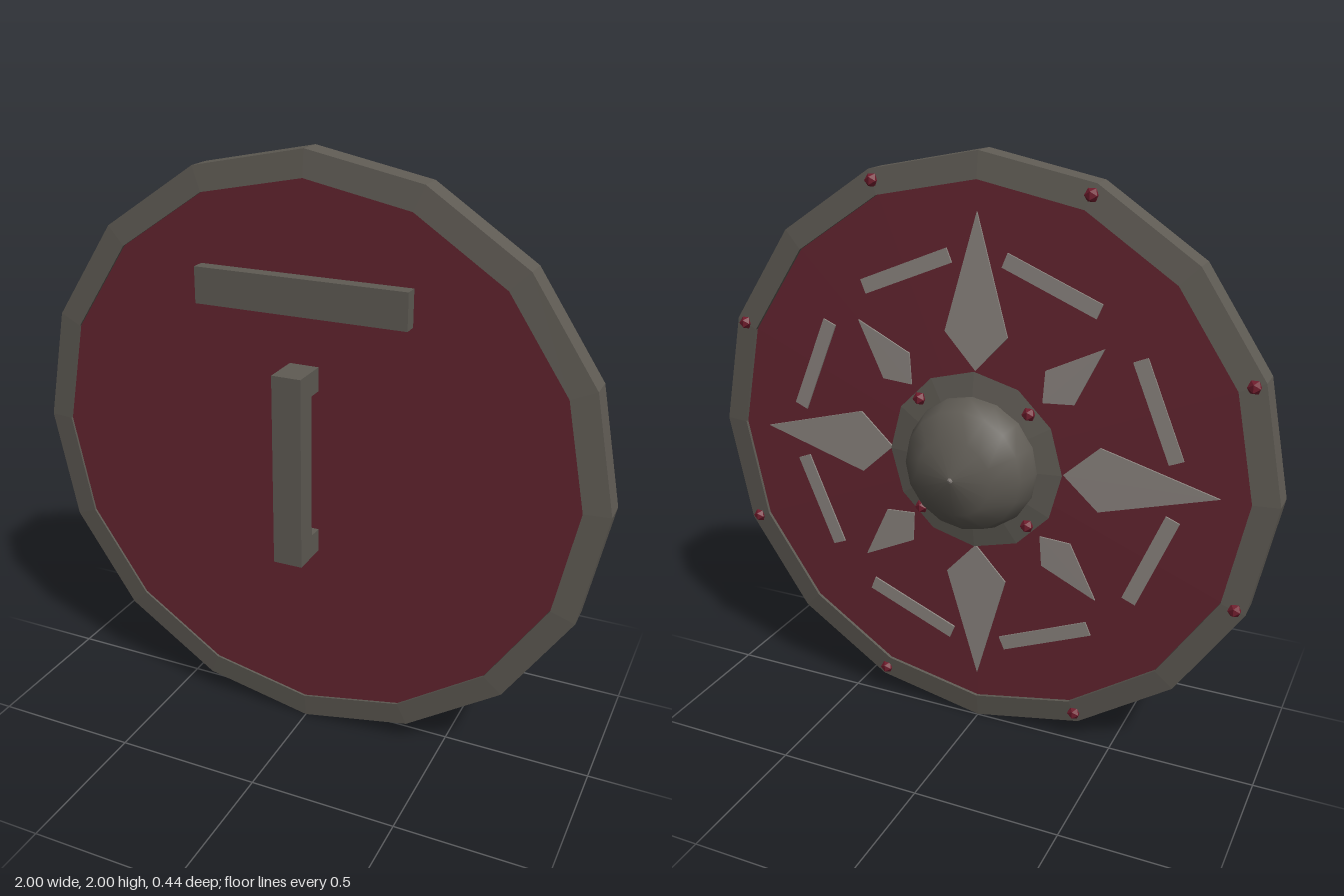
import * as THREE from 'three';

const mat = (name, color) => {
  const m = new THREE.MeshStandardMaterial({ color });
  m.name = name;
  return m;
};

// Height of the slightly domed back face at radius r
const backZ = (r) => -0.022 + 0.022 * r / 0.915;

// Turned part whose axis points to the back; profile points are [radius, -z]
function turned(profile, sides, smooth) {
  let g = new THREE.LatheGeometry(profile.map(([r, h]) => new THREE.Vector2(r, h)), sides);
  g.rotateX(-Math.PI / 2);
  if (!smooth) {
    g = g.toNonIndexed();
    g.computeVertexNormals();
  }
  return g;
}

// Thin plate laid on the domed back, turned about the centre
function plate(points, angle) {
  const shape = new THREE.Shape(points.map(([x, y]) => new THREE.Vector2(x, y)));
  const g = new THREE.ExtrudeGeometry(shape, { depth: 0.006, bevelEnabled: false });
  g.translate(0, 0, -0.006);
  g.rotateZ(angle);
  const p = g.attributes.position;
  for (let i = 0; i < p.count; i++) {
    p.setZ(i, p.getZ(i) + backZ(Math.hypot(p.getX(i), p.getY(i))));
  }
  g.computeVertexNormals();
  return g;
}

const kite = (inner, wide, tip, w) => [[0, inner], [w, wide], [0, tip], [-w, wide]];

export function createModel() {
  const root = new THREE.Group();
  root.name = 'roundShield';
  const shield = new THREE.Group();
  shield.name = 'shield';
  shield.position.y = 1;
  root.add(shield);

  const iron = mat('dark iron', 0x5f5b54);
  const red = mat('dark red', 0x642530);
  const pale = mat('pale metal', 0x8c8580);
  const rivetRed = mat('rivet red', 0x6e1c2c);

  const add = (name, geometry, material, x = 0, y = 0, z = 0) => {
    const m = new THREE.Mesh(geometry, material);
    m.name = name;
    m.position.set(x, y, z);
    shield.add(m);
    return m;
  };
  const box = (name, w, h, d, x, y, z) => add(name, new THREE.BoxGeometry(w, h, d), iron, x, y, z);

  // Board and rim
  add('board', turned([[0, -0.088], [0.93, -0.088], [0.93, -backZ(0.93)], [0, -backZ(0)]], 16), red);
  add('rim', turned([[0.915, -0.096], [1, -0.086], [1, -0.002], [0.915, 0.011], [0.915, -0.096]], 16), iron);

  // Boss on the back
  add('bossFlange', turned([[0.29, 0], [0.31, 0.03], [0.22, 0.045], [0, 0.045]], 12), iron);
  add('bossDome', turned([[0.23, 0.035], [0.228, 0.06], [0.205, 0.125], [0.13, 0.192], [0, 0.217]], 16, true), iron);
  add('bossTip', turned([[0.014, 0.213], [0, 0.22]], 8), pale);

  // Plates and rivets around the back
  const bar = [[-0.17, 0.635], [0.17, 0.635], [0.17, 0.685], [-0.17, 0.685]];
  for (let i = 0; i < 8; i++) {
    const a = i * Math.PI / 4;
    const b = a + Math.PI / 8;
    const large = i % 2 === 0;
    add(large ? 'largeKite' : 'smallKite',
      plate(large ? kite(0.31, 0.43, 0.817, 0.11) : kite(0.33, 0.41, 0.61, 0.07), a), pale);
    add('barPlate', plate(bar, b), pale);
    const rivet = new THREE.IcosahedronGeometry(0.024, 0);
    add('rimRivet', rivet, rivetRed, 0.963 * Math.sin(b), 0.963 * Math.cos(b), -0.003);
    if (!large) add('bossRivet', rivet, rivetRed, 0.275 * Math.sin(a), 0.275 * Math.cos(a), -0.036);
  }

  // Arm bar and hand grip on the front
  box('armBar', 0.72, 0.12, 0.055, 0, 0.56, 0.1075);
  box('grip', 0.1, 0.65, 0.08, 0, 0.005, 0.18);
  for (const y of [0.29, -0.28]) box('gripMount', 0.1, 0.08, 0.06, 0, y, 0.11);

  return root;
}
